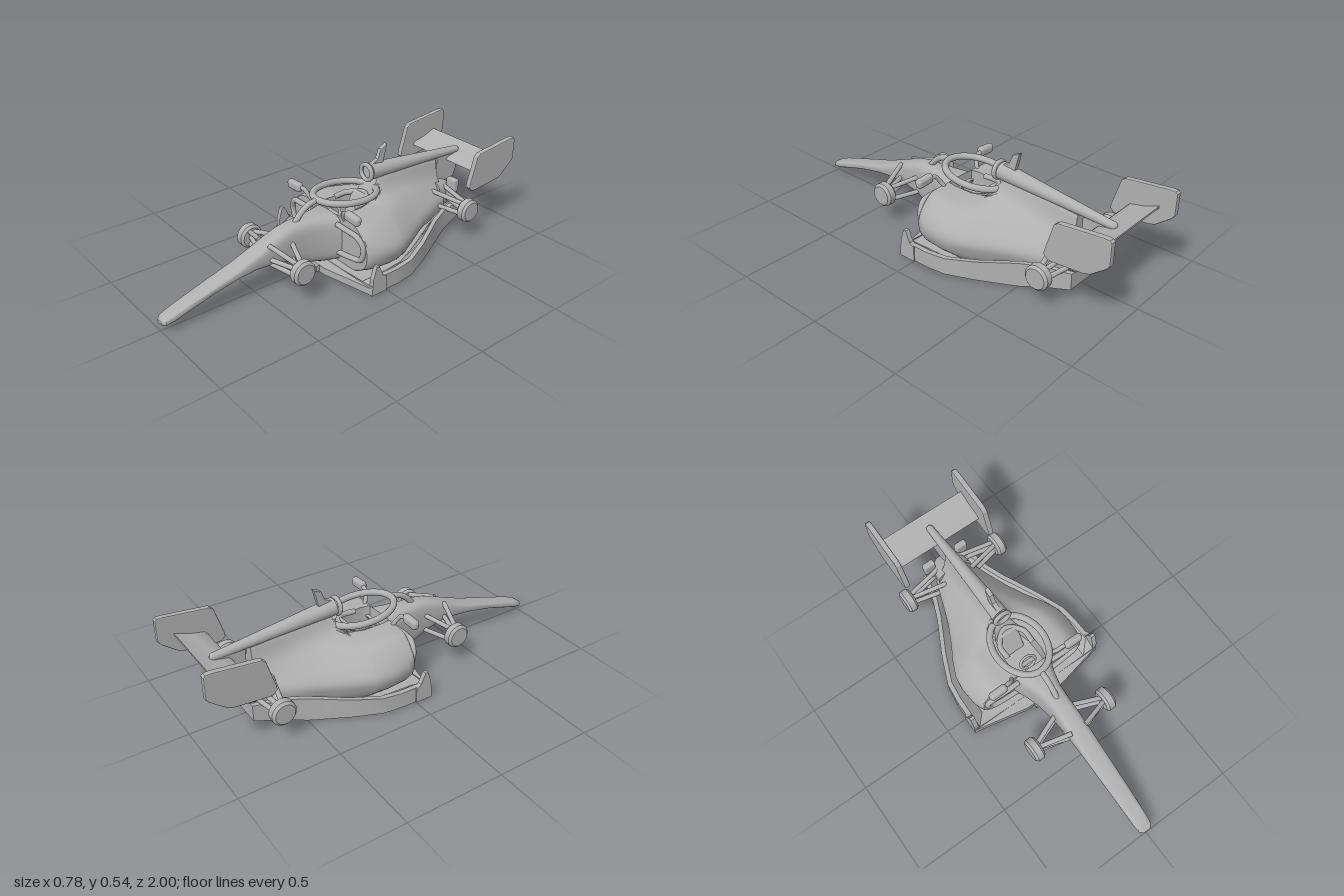
import * as THREE from 'three';
import { toCreasedNormals } from 'three/addons/utils/BufferGeometryUtils.js';
import { RoundedBoxGeometry } from 'three/addons/geometries/RoundedBoxGeometry.js';

const V = (x, y, z) => new THREE.Vector3(x, y, z);

// Skin a list of rings (counter-clockwise seen from +z, ordered front to back) and close both ends
function loft(rings, crease = 0.6) {
  const pos = [], n = rings[0].length;
  const tri = (...p) => p.forEach((v) => pos.push(v.x, v.y, v.z));
  for (let i = 0; i < rings.length - 1; i++) {
    for (let j = 0; j < n; j++) {
      const k = (j + 1) % n, f = rings[i], b = rings[i + 1];
      tri(f[j], b[j], f[k]);
      tri(f[k], b[j], b[k]);
    }
  }
  const cap = (r, back) => {
    const c = r.reduce((s, p) => s.add(p), V(0, 0, 0)).divideScalar(n);
    for (let j = 0; j < n; j++) {
      const k = (j + 1) % n;
      if (back) tri(c, r[k], r[j]); else tri(c, r[j], r[k]);
    }
  };
  cap(rings[0], false);
  cap(rings[rings.length - 1], true);
  const g = new THREE.BufferGeometry();
  g.setAttribute('position', new THREE.Float32BufferAttribute(pos, 3));
  return toCreasedNormals(g, crease);
}

// Mirror a half outline (top centre to bottom centre, on +x) into a full ring
function mirrorRing(half, z) {
  const up = half.slice().reverse();
  return [...up.map(([x, y]) => V(x, y, z)), ...half.slice(1, -1).map(([x, y]) => V(-x, y, z))];
}

// Rounded-rectangle ring
function roundRing(z, w, top, bot, n = 28) {
  const p = (c) => Math.sign(c) * Math.pow(Math.abs(c), 0.55), m = (top + bot) / 2, h = (top - bot) / 2;
  return Array.from({ length: n }, (_, i) => {
    const a = (i / n) * Math.PI * 2;
    return V(p(Math.cos(a)) * w, m + p(Math.sin(a)) * h, z);
  });
}

// Plate with a (z, y) outline, centred on x = 0
function sidePlate(pts, t, bevel = 0) {
  const s = new THREE.Shape(pts.map(([z, y]) => new THREE.Vector2(z, y)));
  const d = t - 2 * bevel;
  const g = new THREE.ExtrudeGeometry(s, {
    depth: d, bevelEnabled: bevel > 0, bevelSize: bevel, bevelThickness: bevel, bevelOffset: -bevel, bevelSegments: 2,
  });
  return g.translate(0, 0, -d / 2).rotateY(-Math.PI / 2);
}

// Straight rod between two points
function rod(a, b, r0, r1 = r0, sides = 14) {
  const g = new THREE.CylinderGeometry(r1, r0, a.distanceTo(b), sides);
  const q = new THREE.Quaternion().setFromUnitVectors(V(0, 1, 0), b.clone().sub(a).normalize());
  const m = a.clone().add(b).multiplyScalar(0.5);
  return g.applyQuaternion(q).translate(m.x, m.y, m.z);
}

const tube = (pts, r, closed = false) =>
  new THREE.TubeGeometry(new THREE.CatmullRomCurve3(pts, closed), 64, r, 12, closed);

export function createModel() {
  const car = new THREE.Group();
  car.name = 'openWheelRacer';
  const grey = new THREE.MeshStandardMaterial({ color: 0xb0b0b0 });
  const add = (name, geo) => {
    const m = new THREE.Mesh(geo, grey);
    m.name = name;
    car.add(m);
    return m;
  };

  // Nose: [z, half width, top, bottom]
  add('nose', loft([
    [1, 0.02, 0.055, 0.038], [0.985, 0.036, 0.066, 0.034], [0.94, 0.041, 0.083, 0.042], [0.85, 0.044, 0.11, 0.07],
    [0.75, 0.047, 0.138, 0.1], [0.6, 0.051, 0.182, 0.13], [0.5, 0.053, 0.22, 0.137], [0.4, 0.055, 0.262, 0.128],
    [0.34, 0.056, 0.284, 0.112], [0.28, 0.057, 0.296, 0.09], [0.2, 0.064, 0.298, 0.06],
    [0.12, 0.085, 0.297, 0.042], [0.05, 0.115, 0.294, 0.038],
  ].map((s) => roundRing(...s))));

  // Bodywork: z, then cockpit or spine half width and height, then rim, neck, shoulder, side, low, bottom
  const body = [
    [0.05, 0.08, 0.292, 0.292, 0.13, 0.292, 0.22, 0.28, 0.295, 0.19, 0.285, 0.09, 0.2],
    [0.045, 0.08, 0.2, 0.292, 0.13, 0.292, 0.225, 0.281, 0.302, 0.19, 0.29, 0.09, 0.21],
    [0, 0.088, 0.19, 0.293, 0.14, 0.292, 0.238, 0.278, 0.32, 0.18, 0.307, 0.09, 0.24],
    [-0.1, 0.085, 0.19, 0.29, 0.14, 0.289, 0.235, 0.272, 0.326, 0.175, 0.315, 0.09, 0.26],
    [-0.17, 0.065, 0.19, 0.292, 0.12, 0.288, 0.22, 0.266, 0.315, 0.17, 0.305, 0.09, 0.26],
    [-0.18, 0.06, 0.3, 0.296, 0.115, 0.288, 0.218, 0.265, 0.312, 0.17, 0.3, 0.09, 0.26],
    [-0.25, 0.028, 0.387, 0.38, 0.075, 0.32, 0.18, 0.262, 0.28, 0.165, 0.27, 0.09, 0.24],
    [-0.33, 0.026, 0.387, 0.378, 0.062, 0.315, 0.142, 0.255, 0.235, 0.16, 0.228, 0.09, 0.2],
    [-0.43, 0.024, 0.38, 0.371, 0.053, 0.305, 0.112, 0.245, 0.186, 0.16, 0.182, 0.1, 0.16],
    [-0.55, 0.022, 0.37, 0.361, 0.046, 0.29, 0.085, 0.23, 0.14, 0.16, 0.14, 0.1, 0.12],
    [-0.67, 0.02, 0.36, 0.352, 0.04, 0.275, 0.068, 0.22, 0.1, 0.16, 0.1, 0.1, 0.09],
  ];
  add('bodywork', loft(body.map(([z, cw, c, rim, nx, ny, sx, sy, mx, my, lx, ly, bx]) => {
    const bot = z > -0.4 ? 0.038 : 0.07;
    const curve = new THREE.SplineCurve([[cw + 0.004, rim], [nx, ny], [sx, sy], [mx, my], [lx, ly], [bx, bot]]
      .map((p) => new THREE.Vector2(...p)));
    return mirrorRing([[0, c], [cw, c], ...curve.getPoints(25).map((p) => [p.x, p.y]), [0, bot]], z);
  })));
  add('gearboxTail', loft([[-0.64, 0.1, 0.25, 0.08], [-0.72, 0.085, 0.23, 0.09], [-0.76, 0.05, 0.21, 0.11]]
    .map((s) => roundRing(...s))));

  // Floor with curled-up edges: [z, half width, underside, edge height]
  add('floor', loft([
    [0.09, 0.385, 0, 0.05], [0.03, 0.385, 0, 0.085], [-0.08, 0.382, 0, 0.083], [-0.18, 0.37, 0, 0.087],
    [-0.32, 0.31, 0, 0.1], [-0.42, 0.258, 0, 0.115], [-0.5, 0.216, 0, 0.126], [-0.6, 0.175, 0.022, 0.135],
    [-0.74, 0.145, 0.055, 0.14],
  ].map(([z, w, b, t]) => mirrorRing(
    [[0, b + 0.04], [w - 0.08, b + 0.04], [w - 0.025, t], [w, t], [w, b], [0, b]], z)), 0.4));
  const lip = new THREE.Shape([[-0.385, -0.09], [0.385, -0.09], [0.1, -0.15], [-0.1, -0.15]]
    .map((p) => new THREE.Vector2(...p)));
  add('floorFrontEdge', new THREE.ExtrudeGeometry(lip, { depth: 0.038, bevelEnabled: false }).rotateX(-Math.PI / 2));
  add('plank', new THREE.BoxGeometry(0.12, 0.032, 0.12).translate(0, 0.021, 0.11));

  // Air intake above the driver, with its long tapering fairing and camera fin
  const intakeRing = new THREE.TorusGeometry(0.041, 0.011, 12, 28);
  add('intakeRing', intakeRing.translate(0, 0.418, -0.2));
  add('intakeFairing', rod(V(0, 0.418, -0.215), V(0, 0.367, -0.84), 0.044, 0.019, 28));
  add('fairingTip', new THREE.SphereGeometry(0.02, 16, 10).translate(0, 0.367, -0.84));
  add('cameraFin', sidePlate([[-0.21, 0.45], [-0.265, 0.475], [-0.285, 0.525], [-0.325, 0.543], [-0.3, 0.44]], 0.024, 0.004));

  // Halo hoop, its front pillar and rear feet
  const hoop = Array.from({ length: 24 }, (_, i) => {
    const a = (i / 24) * Math.PI * 2, z = Math.cos(a);
    return V(Math.sin(a) * 0.128, 0.352 + z * 0.015, -0.06 + z * 0.175);
  });
  add('haloHoop', tube(hoop, 0.017, true));
  add('haloPillar', tube([V(0, 0.367, 0.11), V(0, 0.355, 0.17), V(0, 0.325, 0.215), V(0, 0.28, 0.255)], 0.015));

  // Cockpit fittings
  add('steeringWheel', new THREE.TorusGeometry(0.042, 0.008, 10, 28).scale(1, 0.75, 1).rotateX(-0.6).translate(0, 0.262, 0.01));
  add('steeringHub', new RoundedBoxGeometry(0.075, 0.022, 0.014, 2, 0.005).rotateX(-0.6).translate(0, 0.262, 0.01));
  add('seatBack', new RoundedBoxGeometry(0.11, 0.15, 0.03, 3, 0.012).rotateX(-0.45).translate(0, 0.25, -0.135));
  add('headrest', tube([V(-0.075, 0.297, -0.05), V(-0.07, 0.302, -0.13), V(0, 0.31, -0.185),
    V(0.07, 0.302, -0.13), V(0.075, 0.297, -0.05)], 0.014));

  // Rear wing, its central pylon
  const foil = [[-0.76, 0.33], [-0.775, 0.345], [-0.84, 0.358], [-0.92, 0.387], [-0.92, 0.377], [-0.85, 0.342], [-0.78, 0.324]];
  add('rearWing', toCreasedNormals(sidePlate(foil, 0.5), 0.6));
  add('wingPylon', sidePlate([[-0.69, 0.37], [-0.84, 0.37], [-0.842, 0.26], [-0.825, 0.215], [-0.69, 0.2]], 0.03, 0.004));

  for (const s of [1, -1]) {
    const side = s > 0 ? 'left' : 'right';
    const P = (x, y, z) => V(s * x, y, z);

    // Upright fence at the floor corner
    add(side + 'FloorFence', sidePlate([[0.092, 0], [0.085, 0.09], [0.065, 0.152], [0.05, 0.152], [0.025, 0.095],
      [0, 0.08], [0, 0]], 0.024)).position.x = s * 0.378;

    // Side intake lip
    add(side + 'IntakeLip', tube([P(0.1, 0.257, 0.07), P(0.19, 0.257, 0.072), P(0.245, 0.25, 0.068), P(0.275, 0.215, 0.06),
      P(0.278, 0.17, 0.055), P(0.258, 0.125, 0.055), P(0.19, 0.108, 0.058), P(0.1, 0.097, 0.06)], 0.014));

    // Mirror on a bent stem
    add(side + 'Mirror', new RoundedBoxGeometry(0.1, 0.05, 0.04, 4, 0.018)
      .rotateZ(-s * 0.06).translate(s * 0.225, 0.346, 0.078));
    add(side + 'MirrorStem', tube([P(0.2, 0.347, 0.075), P(0.16, 0.345, 0.07), P(0.135, 0.315, 0.06), P(0.12, 0.28, 0.04)], 0.011));

    // Wheel hubs with bevelled edges
    const hub = () => new THREE.LatheGeometry([[0, -0.028], [0.05, -0.028], [0.062, -0.016], [0.062, 0.016], [0.05, 0.028], [0, 0.028]]
      .map((p) => new THREE.Vector2(...p)), 24).rotateZ(Math.PI / 2);
    add(side + 'FrontHub', toCreasedNormals(hub(), 0.5)).position.set(s * 0.22, 0.163, 0.37);
    add(side + 'RearHub', toCreasedNormals(hub(), 0.5)).position.set(s * 0.283, 0.165, -0.66);

    // Suspension arms
    for (const [a, b] of [
      [[0.2, 0.195, 0.38], [0.04, 0.243, 0.43]], [[0.2, 0.19, 0.36], [0.04, 0.215, 0.3]],
      [[0.2, 0.165, 0.375], [0.04, 0.17, 0.43]], [[0.2, 0.13, 0.38], [0.04, 0.14, 0.42]],
      [[0.2, 0.125, 0.36], [0.04, 0.13, 0.3]],
    ]) add(side + 'FrontArm', rod(P(...a), P(...b), 0.012));
    for (const [a, b] of [
      [[0.265, 0.195, -0.65], [0.06, 0.215, -0.6]], [[0.265, 0.19, -0.67], [0.06, 0.215, -0.7]],
      [[0.265, 0.135, -0.65], [0.06, 0.14, -0.6]], [[0.265, 0.14, -0.67], [0.06, 0.15, -0.71]],
    ]) add(side + 'RearArm', rod(P(...a), P(...b), 0.012));

    // Rear brackets beside the tail
    add(side + 'RearBracket', new RoundedBoxGeometry(0.065, 0.07, 0.035, 2, 0.008).translate(s * 0.1, 0.225, -0.73));
    add(side + 'RearStay', new RoundedBoxGeometry(0.05, 0.06, 0.05, 2, 0.01).translate(s * 0.1, 0.17, -0.725));

    // Rear wing endplate
    add(side + 'Endplate', sidePlate([[-0.735, 0.462], [-0.96, 0.486], [-0.99, 0.485], [-1, 0.475], [-1, 0.365], [-0.985, 0.345],
      [-0.91, 0.285], [-0.88, 0.275], [-0.71, 0.26], [-0.69, 0.263], [-0.67, 0.285], [-0.675, 0.31], [-0.715, 0.445]],
    0.03, 0.006)).position.x = s * 0.26;
  }
  return car;
}
